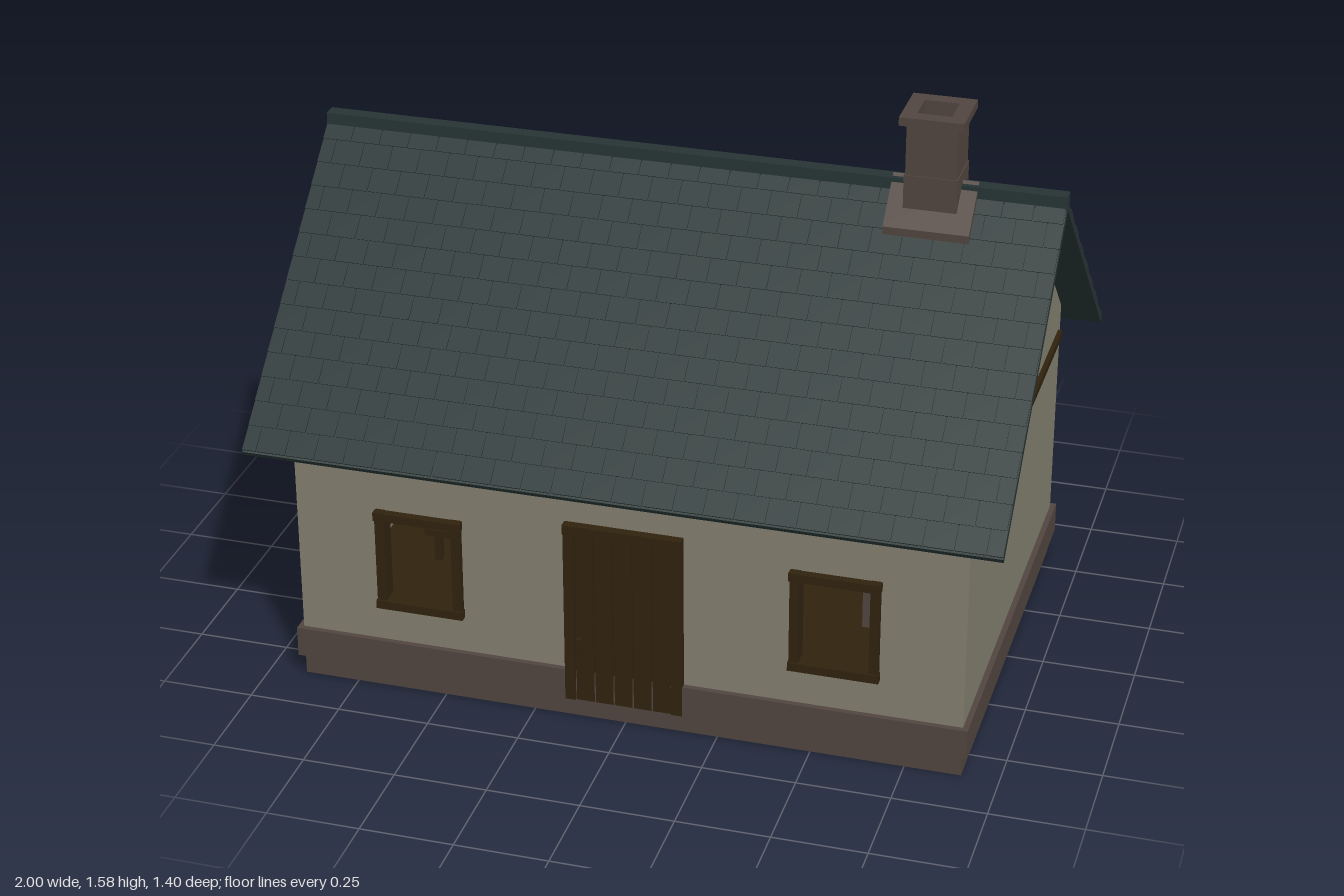
import * as THREE from 'three';
import { mergeGeometries } from 'three/addons/utils/BufferGeometryUtils.js';

const mat = (name, color) => {
  const m = new THREE.MeshStandardMaterial({ color });
  m.name = name;
  return m;
};

export function createModel() {
  const plaster = mat('plaster', 0x827e6f);
  const slate = mat('roofSlate', 0x273434);
  const stone = mat('stone', 0x51453f);
  const wood = mat('darkWood', 0x30230f);
  const pottery = mat('pottery', 0x8d8f8a);

  const house = new THREE.Group();
  house.name = 'cottage';

  const add = (name, geo, material, parent = house) => {
    const m = new THREE.Mesh(geo, material);
    m.name = name;
    parent.add(m);
    return m;
  };
  // Box given by its minimum and maximum on each axis
  const box = (name, material, x0, x1, y0, y1, z0, z1, parent = house) => {
    const m = add(name, new THREE.BoxGeometry(x1 - x0, y1 - y0, z1 - z0), material, parent);
    m.position.set((x0 + x1) / 2, (y0 + y1) / 2, (z0 + z1) / 2);
    return m;
  };
  const group = (name) => {
    const g = new THREE.Group();
    g.name = name;
    house.add(g);
    return g;
  };
  const poly = (pts) => pts.map(([x, y]) => new THREE.Vector2(x, y));
  const rect = (x0, x1, y0, y1) => poly([[x0, y0], [x1, y0], [x1, y1], [x0, y1]]);
  const extrude = (pts, depth, holes = []) => {
    const s = new THREE.Shape(pts);
    s.holes = holes.map((h) => new THREE.Path(h));
    return new THREE.ExtrudeGeometry(s, { depth, bevelEnabled: false });
  };
  // Profile drawn in z and y, extruded along x from x0 to x1
  const alongX = (pts, x0, x1) => extrude(poly(pts), x1 - x0).rotateY(Math.PI / 2).translate(x0, 0, 0);
  // Hollow square tube standing upright
  const tube = (hx, hz, hole, y0, y1) =>
    extrude(rect(-hx, hx, -hz, hz), y1 - y0, [rect(-hole, hole, -hole, hole)])
      .rotateX(-Math.PI / 2).translate(0, y0, 0);

  // Plinth
  box('footing', stone, -0.9, 0.9, 0, 0.06, -0.6, 0.6);
  box('plinth', stone, -0.915, 0.915, 0.06, 0.145, -0.615, 0.615).scale.set(1, 1, 1);
  box('floor', wood, -0.86, 0.86, 0.145, 0.15, -0.56, 0.56);

  // Long walls with openings
  const windows = [rect(-0.665, -0.455, 0.26, 0.53), rect(0.455, 0.665, 0.26, 0.53)];
  const wallOutline = rect(-0.86, 0.86, 0.145, 0.775);
  add('frontWall', extrude(wallOutline, 0.04, windows), plaster).position.z = 0.56;
  add('backWall', extrude(wallOutline, 0.04, windows), plaster).position.z = -0.6;
  add('backWallFacing', extrude(rect(-0.68, 0.68, 0.145, 0.775), 0.003, windows), stone).position.z = -0.603;

  // Gable walls and their timbers
  const gable = [[-0.6, 0.145], [0.6, 0.145], [0.6, 0.784], [0, 1.345], [-0.6, 0.784]];
  for (const s of [-1, 1]) {
    const side = s > 0 ? 'left' : 'right';
    add(side + 'Gable', alongX(gable, s > 0 ? 0.86 : -0.9, s > 0 ? 0.9 : -0.86), plaster);
    const a = s > 0 ? 0.895 : -0.912;
    box(side + 'GablePost', wood, a, a + 0.017, 0.72, 1.335, -0.011, 0.011);
    box(side + 'GableBeam', wood, a, a + 0.017, 0.698, 0.72, -0.57, 0.57);
  }

  // Window frames with sills and lintels standing slightly proud
  for (const s of [-1, 1]) for (const cx of [-0.56, 0.56]) {
    const g = group((s > 0 ? 'front' : 'back') + (cx > 0 ? 'Left' : 'Right') + 'Window');
    for (const d of [-0.105, 0.105])
      box('windowJamb', wood, -0.0125 + d, 0.0125 + d, 0.25, 0.54, -0.025, 0.025, g);
    for (const y of [0.25, 0.515])
      box('windowRail', wood, -0.12, 0.12, y, y + 0.024, -0.03, 0.03, g);
    g.position.set(cx, 0, s * 0.592);
  }

  // Door: frame, planks and handle
  const door = group('door');
  for (const s of [-1, 1]) box('doorJamb', wood, s * 0.145 - 0.014, s * 0.145 + 0.014, 0.06, 0.56, 0.57, 0.622, door);
  box('doorLintel', wood, -0.16, 0.158, 0.56, 0.585, 0.57, 0.625, door);
  box('doorBacking', wood, -0.131, 0.131, 0.06, 0.56, 0.55, 0.606, door);
  for (let i = 0; i < 5; i++) {
    const x = -0.13 + i * 0.052;
    box('doorPlank', wood, x + 0.002, x + 0.05, 0.06, 0.558, 0.606, 0.618, door);
  }
  box('doorHandle', wood, -0.125, -0.113, 0.2, 0.25, 0.618, 0.627, door);

  // Roof slabs
  const slope = Math.atan2(0.66, 0.707), slopeLength = Math.hypot(0.66, 0.707);
  add('roof', alongX([[0, 1.368], [-0.702, 0.713], [-0.69, 0.698], [0, 1.343], [0.69, 0.698], [0.702, 0.713]], -1, 1), slate);
  box('ridgeCap', slate, -1, 1, 1.345, 1.387, -0.02, 0.02);

  // Staggered slates, each lapping the row below
  const rows = 14, step = (slopeLength - 0.01) / rows, width = 0.08;
  for (const s of [-1, 1]) {
    const slates = [];
    for (let r = 0; r < rows; r++) {
      const d = (r + 0.5) * step;
      for (let c = -1; c < 25; c++) {
        const start = -1 + c * width + (r % 2) * width / 2;
        const x0 = Math.max(-1, start), x1 = Math.min(1, start + width - 0.003);
        if (x1 - x0 < 0.01) continue;
        slates.push(new THREE.BoxGeometry(x1 - x0, 0.005, step)
          .rotateX(s * (slope - 0.04))
          .translate((x0 + x1) / 2, 1.371 - d * Math.sin(slope), s * d * Math.cos(slope)));
      }
    }
    add(s > 0 ? 'frontSlates' : 'backSlates', mergeGeometries(slates), slate);
  }

  // Chimney with saddle flashing, hollow shaft and cap
  const chimney = group('chimney');
  add('flashing', alongX([[0, 1.394], [-0.112, 1.29], [-0.112, 1.262], [0, 1.36], [0.112, 1.262], [0.112, 1.29]], -0.112, 0.112), stone, chimney);
  add('chimneyBase', tube(0.07, 0.07, 0.045, 1.27, 1.42), stone, chimney);
  add('chimneyShaft', tube(0.067, 0.067, 0.045, 1.42, 1.565), stone, chimney);
  add('chimneyCap', tube(0.084, 0.084, 0.045, 1.56, 1.583), stone, chimney);
  chimney.position.x = 0.657;

  // Fireplace inside
  const hearth = group('fireplace');
  for (const s of [-1, 1]) box('hearthPier', stone, 0.54, 0.86, 0.15, 0.39, s * 0.15 - 0.05, s * 0.15 + 0.05, hearth);
  box('hearthBack', stone, 0.72, 0.86, 0.15, 0.39, -0.1, 0.1, hearth);
  box('mantel', stone, 0.53, 0.86, 0.39, 0.415, -0.22, 0.22, hearth);
  box('chimneyBreast', stone, 0.59, 0.73, 0.415, 1.3, -0.07, 0.07, hearth);

  // Table and pots inside
  const table = group('table');
  box('tableTop', wood, -0.7, -0.38, 0.235, 0.255, -0.2, 0.2, table);
  for (const x of [-0.68, -0.42]) for (const z of [-0.18, 0.16])
    box('tableLeg', wood, x, x + 0.02, 0.15, 0.235, z, z + 0.02, table);
  const potProfile = poly([[0, 0], [0.025, 0], [0.034, 0.03], [0.024, 0.06], [0.028, 0.07], [0.02, 0.07], [0, 0.01]]);
  box('potShelf', wood, 0.69, 0.86, 0.25, 0.265, -0.48, -0.26);
  [[0.74, -0.42], [0.78, -0.32]].forEach(([x, z]) =>
    add('pot', new THREE.LatheGeometry(potProfile, 16), pottery).position.set(x, 0.265, z));

  return house;
}
